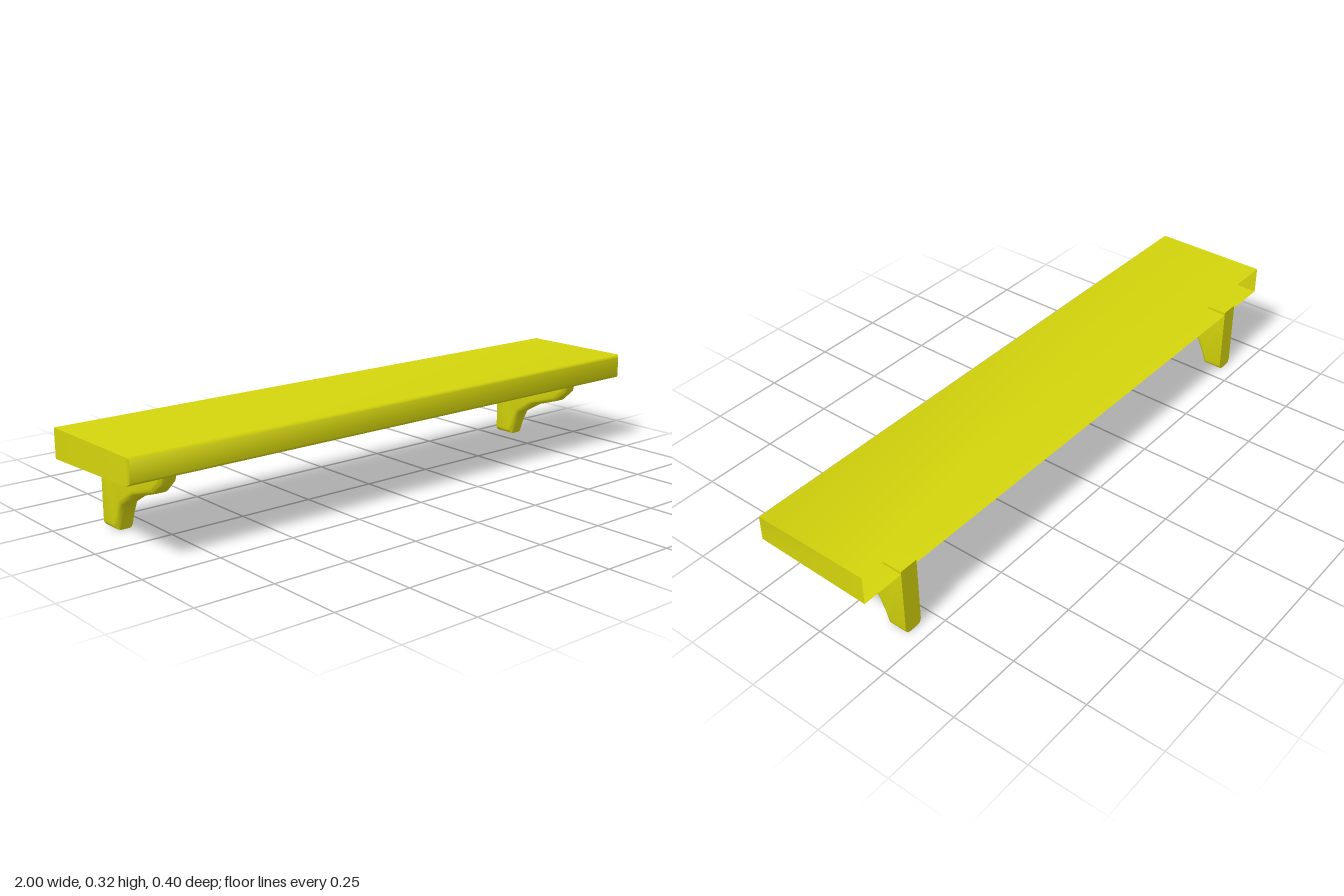
import * as THREE from 'three';
import { toCreasedNormals } from 'three/addons/utils/BufferGeometryUtils.js';

const BACK = -0.2, FRONT = 0.2, TOP = 0.324;
const material = new THREE.MeshStandardMaterial({ color: 0xd4d40c, side: THREE.DoubleSide });

// Hollow board: open at the back, chamfered front, underside rising to the front
function shelfGeometry() {
  const chamfer = 0.008;
  const geo = new THREE.BoxGeometry(2, 1, 2, 1, 1, 2);
  const pos = geo.attributes.position;
  for (let i = 0; i < pos.count; i++) {
    const ring = Math.round(pos.getZ(i)); // -1 back, 0 chamfer start, 1 front
    const inset = ring === 1 ? chamfer : 0;
    const bottom = ring === -1 ? 0.231 : 0.243;
    const y = pos.getY(i) > 0 ? TOP - inset : bottom + inset;
    const z = ring === -1 ? BACK : FRONT - (ring === 0 ? chamfer : 0);
    pos.setXYZ(i, Math.sign(pos.getX(i)) * (1 - inset), y, z);
  }
  // The back is the last face of the box
  const index = Array.from(geo.index.array);
  geo.setIndex(index.slice(0, -6));
  geo.clearGroups();
  return toCreasedNormals(geo, 0.9);
}

// Curved bracket with rounded front edges and a square back and top
function bracketGeometry() {
  const width = 0.062, round = 0.017, top = 0.241;
  const profile = [
    [BACK - round, top + round], [BACK - round, 0], [-0.13, 0], [-0.115, 0.043],
    [-0.095, 0.086], [-0.025, 0.128], [0.08, 0.163], [0.12, 0.2],
    [0.13, top], [0.13, top + round],
  ];
  const shape = new THREE.Shape(profile.map(([z, y]) => new THREE.Vector2(z, y)));
  const geo = new THREE.ExtrudeGeometry(shape, {
    depth: width - 2 * round, bevelThickness: round, bevelSize: round,
    bevelOffset: -round, bevelSegments: 3,
  });
  geo.translate(0, 0, round - width / 2);
  geo.rotateY(-Math.PI / 2);
  // Flatten the rounding where the bracket meets the wall and the shelf
  const pos = geo.attributes.position;
  for (let i = 0; i < pos.count; i++) {
    pos.setY(i, Math.min(pos.getY(i), top));
    pos.setZ(i, Math.max(pos.getZ(i), BACK));
  }
  geo.clearGroups();
  return toCreasedNormals(geo, 0.75);
}

export function createModel() {
  const model = new THREE.Group();
  model.name = 'wallShelf';

  const shelf = new THREE.Mesh(shelfGeometry(), material);
  shelf.name = 'shelfBoard';
  model.add(shelf);

  const geo = bracketGeometry();
  for (const side of [1, -1]) {
    const bracket = new THREE.Mesh(geo, material);
    bracket.name = side > 0 ? 'leftBracket' : 'rightBracket';
    bracket.position.x = side * 0.828;
    model.add(bracket);
  }
  return model;
}
